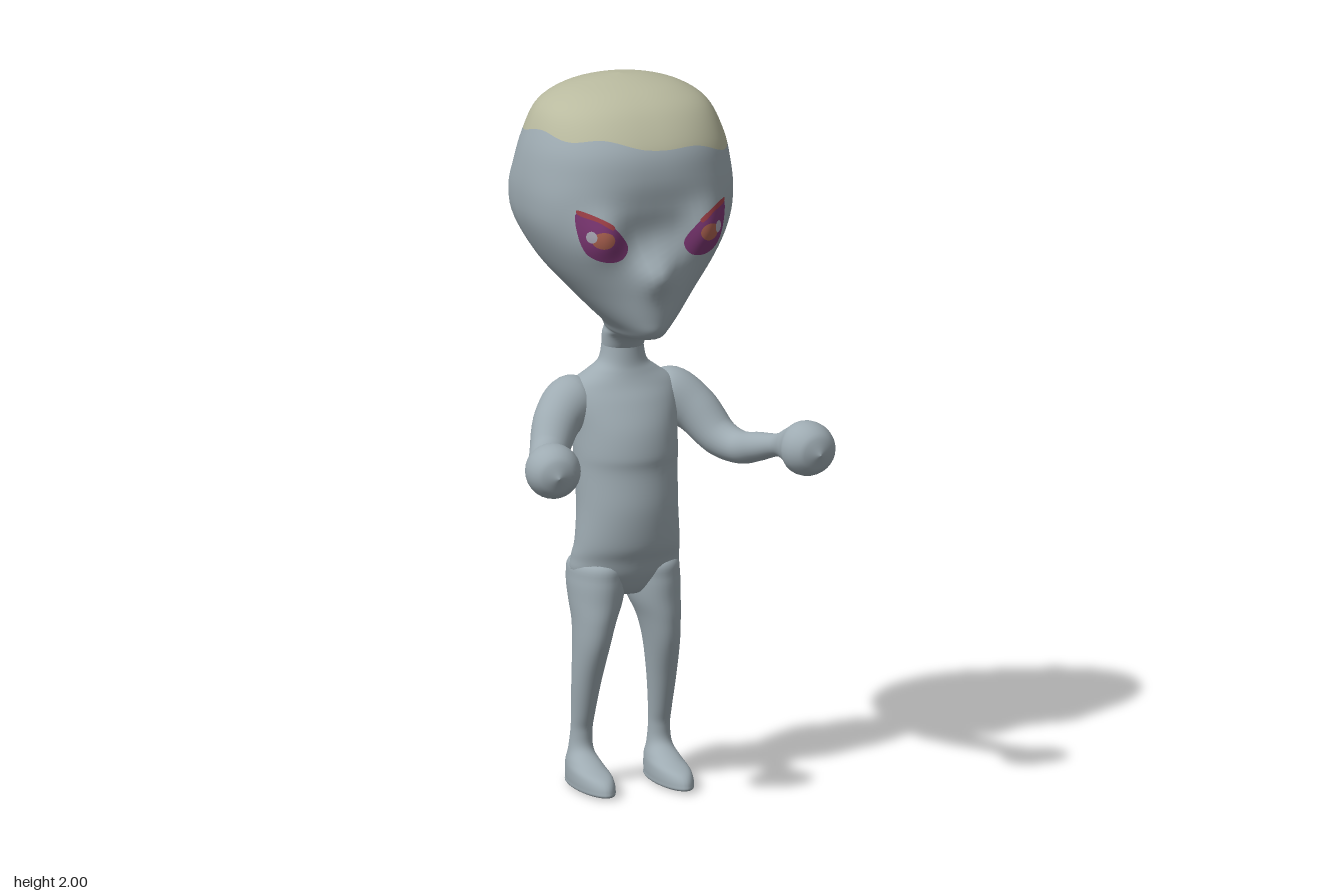
import * as THREE from 'three';

const mat = (name, color, side = THREE.FrontSide) => {
  const m = new THREE.MeshStandardMaterial({ color, side });
  m.name = name;
  return m;
};

// Catmull-Rom blend of a table of rows at t in 0..rows-1
function sample(rows, t) {
  const i = Math.min(Math.floor(t), rows.length - 2), f = t - i;
  const at = k => rows[Math.max(0, Math.min(rows.length - 1, k))];
  return rows[i].map((b, k) => {
    const a = at(i - 1)[k], c = at(i + 1)[k], d = at(i + 2)[k];
    return b + 0.5 * f * (c - a + f * (2 * a - 5 * b + 4 * c - d + f * (3 * (b - c) + d - a)));
  });
}

// Skin a grid of closed rings; point(i, angle) gives each vertex
function skinRings(rows, cols, point) {
  const pos = [], index = [];
  for (let i = 0; i <= rows; i++) {
    for (let j = 0; j < cols; j++) pos.push(...point(i, (j / cols) * Math.PI * 2));
  }
  for (let i = 0; i < rows; i++) {
    for (let j = 0; j < cols; j++) {
      const a = i * cols + j, b = i * cols + (j + 1) % cols;
      index.push(a, a + cols, b, b, a + cols, b + cols);
    }
  }
  const g = new THREE.BufferGeometry();
  g.setAttribute('position', new THREE.Float32BufferAttribute(pos, 3));
  g.setIndex(index);
  g.computeVertexNormals();
  return g;
}

// Point on a cross-section [y, centreX, halfWidth, frontZ, backZ, frontSquareness]
function sectionPoint([y, cx, rx, zf, zb, n = 2], angle) {
  const c = Math.cos(angle), s = Math.sin(angle), e = s > 0 ? 2 / n : 1;
  return [
    cx + rx * Math.sign(c) * Math.abs(c) ** e, y,
    (zf + zb) / 2 + (zf - zb) / 2 * Math.sign(s) * Math.abs(s) ** e,
  ];
}

function loft(sections, cols = 32, steps = 6) {
  const rows = (sections.length - 1) * steps;
  return skinRings(rows, cols, (i, a) => sectionPoint(sample(sections, i / steps), a));
}

const HEAD = [
  [1.24, 0, 0.058, -0.035, -0.155, 2], [1.275, 0, 0.06, 0.0, -0.155, 2],
  [1.293, 0, 0.06, 0.08, -0.16, 2], [1.303, 0, 0.066, 0.138, -0.165, 2],
  [1.325, 0, 0.08, 0.165, -0.175, 2], [1.36, 0, 0.115, 0.173, -0.2, 2],
  [1.42, 0, 0.17, 0.178, -0.265, 2], [1.5, 0, 0.235, 0.175, -0.36, 2.3],
  [1.6, 0, 0.286, 0.148, -0.422, 3], [1.68, 0, 0.3, 0.16, -0.43, 2.8],
  [1.76, 0, 0.295, 0.168, -0.392, 2.4], [1.84, 0, 0.277, 0.152, -0.36, 2.3],
  [1.92, 0, 0.24, 0.095, -0.315, 2.3], [1.965, 0, 0.175, 0.03, -0.26, 2.2],
  [1.99, 0, 0.09, -0.05, -0.19, 2], [2.0, 0, 0, -0.12, -0.12, 2],
];

const bump = (d, w) => Math.exp(-((d / w) ** 2));
// Raised eye sockets and nose ridge
const faceRelief = (x, y) =>
  0.042 * bump(Math.abs(x) - 0.15, 0.065) * bump(y - 1.605, 0.07) +
  0.04 * bump(x, 0.045) * bump(y - 1.495, 0.055);

// Section position at a given height of the head
function headT(y) {
  let lo = 0, hi = HEAD.length - 1;
  for (let k = 0; k < 24; k++) {
    const mid = (lo + hi) / 2;
    if (sample(HEAD, mid)[0] < y) lo = mid; else hi = mid;
  }
  return lo;
}

function faceZ(x, y) {
  const [, , rx, zf, zb, n] = sample(HEAD, headT(y));
  const r = Math.min(1, Math.abs(x) / rx);
  return (zf + zb) / 2 + (zf - zb) / 2 * (1 - r ** n) ** (1 / n) + faceRelief(x, y);
}

// Head, with the crown coloured above a wavy edge
function headGeometry() {
  const cols = 80, low = 56, high = 24, top = HEAD.length - 1;
  const g = skinRings(low + high, cols, (i, a) => {
    const edge = headT(1.83 - 0.036 * Math.cos(a) + 0.018 * Math.sin(a) + 0.008 * Math.sin(7 * a));
    const t = i <= low ? edge * i / low : edge + (top - edge) * (i - low) / high;
    const p = sectionPoint(sample(HEAD, t), a);
    if (Math.sin(a) > 0) p[2] += faceRelief(p[0], p[1]);
    return p;
  });
  g.addGroup(0, low * cols * 6, 0);
  g.addGroup(low * cols * 6, high * cols * 6, 1);
  return g;
}

// Thin patch laid on the face inside a smooth closed outline
function facePatch(outline, side, lift) {
  const curve = new THREE.CatmullRomCurve3(outline.map(([x, y]) => new THREE.Vector3(x, y, 0)), true);
  const cx = outline.reduce((s, p) => s + p[0], 0) / outline.length;
  const cy = outline.reduce((s, p) => s + p[1], 0) / outline.length;
  return skinRings(10, 40, (i, a) => {
    const p = curve.getPoint((side > 0 ? a : Math.PI * 2 - a) / (Math.PI * 2) % 1), k = 1 - i / 10;
    const x = cx + (p.x - cx) * k, y = cy + (p.y - cy) * k;
    return [side * x, y, faceZ(x, y) + lift];
  });
}

const oval = (x, y, rx, ry) => Array.from({ length: 8 }, (_, i) =>
  [x + rx * Math.cos(i * Math.PI / 4), y + ry * Math.sin(i * Math.PI / 4)]);

const EYE = [[0.215, 1.678], [0.155, 1.658], [0.105, 1.615], [0.082, 1.575],
  [0.1, 1.545], [0.14, 1.537], [0.187, 1.555], [0.212, 1.605]];
const LID = [[0.218, 1.683], [0.17, 1.668], [0.125, 1.64], [0.13, 1.633], [0.17, 1.655], [0.215, 1.672]];

const TORSO = [
  [0.535, 0, 0, -0.09, -0.09], [0.55, 0, 0.07, -0.02, -0.15], [0.6, 0, 0.148, 0.018, -0.195],
  [0.65, 0, 0.153, 0.036, -0.188], [0.7, 0, 0.148, 0.055, -0.175], [0.8, 0, 0.142, 0.066, -0.185],
  [0.9, 0, 0.145, 0.058, -0.2], [0.95, 0, 0.146, 0.06, -0.205], [1.02, 0, 0.148, 0.045, -0.207],
  [1.09, 0, 0.158, 0.012, -0.203], [1.135, 0, 0.148, -0.015, -0.19], [1.17, 0, 0.1, -0.03, -0.17],
  [1.2, 0, 0.067, -0.037, -0.155], [1.26, 0, 0.056, -0.04, -0.152],
];

// Leg and foot, sole first: y, x, half width, front, back
const LEG = [
  [0, 0.115, 0, -0.04, -0.04], [0.004, 0.115, 0.044, 0.09, -0.178], [0.02, 0.115, 0.05, 0.105, -0.185],
  [0.048, 0.115, 0.049, 0.08, -0.185], [0.07, 0.115, 0.043, 0.0, -0.178], [0.1, 0.115, 0.034, -0.07, -0.158],
  [0.15, 0.114, 0.03, -0.08, -0.146], [0.2, 0.113, 0.032, -0.066, -0.141], [0.3, 0.11, 0.04, -0.032, -0.136],
  [0.4, 0.103, 0.048, 0.007, -0.142], [0.47, 0.095, 0.057, 0.02, -0.155], [0.53, 0.085, 0.071, 0.022, -0.185],
  [0.59, 0.08, 0.077, 0.022, -0.206], [0.64, 0.075, 0.07, 0.01, -0.19], [0.68, 0.07, 0, -0.08, -0.08],
];

// Arm and fist: x, y, z, radius
const ARM = [
  [0.09, 1.09, -0.12, 0.05], [0.14, 1.085, -0.11, 0.075], [0.2, 1.045, -0.07, 0.067],
  [0.25, 0.975, -0.005, 0.054], [0.285, 0.957, 0.06, 0.046], [0.308, 0.977, 0.15, 0.04],
  [0.332, 1.0, 0.24, 0.032], [0.35, 1.008, 0.285, 0.05], [0.368, 1.012, 0.33, 0.074],
  [0.377, 1.012, 0.375, 0.073], [0.382, 1.01, 0.412, 0.05], [0.384, 1.008, 0.433, 0],
];

function armGeometry(side) {
  const curve = new THREE.CatmullRomCurve3(ARM.map(([x, y, z]) => new THREE.Vector3(side * x, y, z)));
  const rows = 66, path = [];
  for (let i = 0; i <= rows; i++) {
    const t = i / rows;
    path.push({ p: curve.getPoint(t), d: curve.getTangent(t), r: Math.max(0, sample(ARM, t * (ARM.length - 1))[3]) });
  }
  const up = new THREE.Vector3(0, 1, 0);
  return skinRings(rows, 28, (i, a) => {
    const { p, d, r } = path[i];
    const across = new THREE.Vector3().crossVectors(up, d).normalize();
    const lift = new THREE.Vector3().crossVectors(d, across);
    return p.clone().addScaledVector(across, r * Math.cos(a)).addScaledVector(lift, -r * Math.sin(a)).toArray();
  });
}

export function createModel() {
  const skin = mat('skin', 0x9eabb2), crown = mat('crown', 0xb9ba9f);
  const purple = mat('eyePurple', 0x7b3672, THREE.DoubleSide);
  const iris = mat('irisOrange', 0xa9604f, THREE.DoubleSide);
  const glint = mat('eyeGlint', 0xa9a6b4, THREE.DoubleSide);
  const red = mat('lidRed', 0xa04048, THREE.DoubleSide);
  const model = new THREE.Group();
  model.name = 'bigHeadedFigure';
  const add = (name, geometry, material) => {
    const m = new THREE.Mesh(geometry, material);
    m.name = name;
    model.add(m);
  };

  add('head', headGeometry(), [skin, crown]);
  add('torso', loft(TORSO, 40), skin);
  for (const [label, s] of [['left', 1], ['right', -1]]) {
    add(label + 'Leg', loft(LEG.map(([y, x, ...rest]) => [y, s * x, ...rest])), skin);
    add(label + 'Arm', armGeometry(s), skin);
    add(label + 'Eye', facePatch(EYE, s, 0.004), purple);
    add(label + 'Iris', facePatch(oval(0.156, 1.603, 0.03, 0.024), s, 0.006), iris);
    add(label + 'Glint', facePatch(oval(0.186, 1.612, 0.012, 0.017), s, 0.008), glint);
    add(label + 'Lid', facePatch(LID, s, 0.007), red);
  }
  return model;
}
